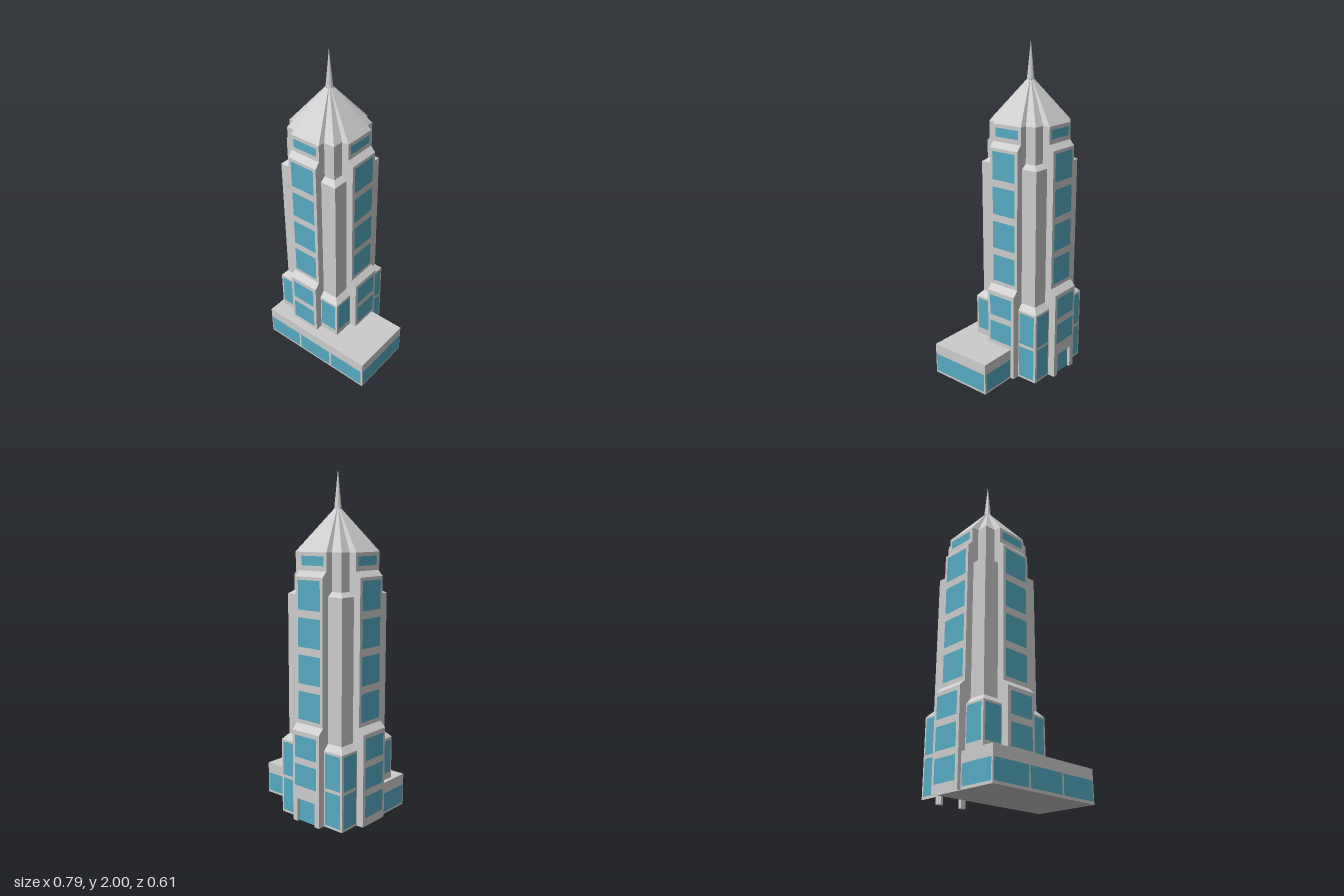
import * as THREE from 'three';

const stone = new THREE.MeshStandardMaterial({ color: 0xcccccc, flatShading: true });
const glass = new THREE.MeshStandardMaterial({ color: 0x55aac2 });

const CX = -0.117, CZ = -0.027; // tower axis
const ARM = 0.276, CORNER = 0.231, WING = 0.1; // ground-level half sizes

function add(parent, name, geometry, material, x = 0, y = 0, z = 0) {
  const mesh = new THREE.Mesh(geometry, material);
  mesh.name = name;
  mesh.position.set(x, y, z);
  parent.add(mesh);
  return mesh;
}

// Pane facing +z, given its horizontal and vertical range
function pane(parent, name, x0, x1, y0, y1, z) {
  return add(parent, name, new THREE.PlaneGeometry(x1 - x0, y1 - y0), glass, (x0 + x1) / 2, (y0 + y1) / 2, z + 0.002);
}

// Plan outline: four arms plus four stepped corner blocks
function outline([y, arm, corner, w = WING]) {
  const points = [];
  for (let k = 0; k < 4; k++) {
    for (let [x, z] of [[arm, w], [corner, w], [corner, corner], [w, corner], [w, arm]]) {
      for (let r = 0; r < k; r++) [x, z] = [-z, x];
      points.push([x, y, z]);
    }
  }
  return points;
}

// Skin between successive outlines; skip(level, side) leaves an opening
function loft(levels, skip = () => false) {
  const rings = levels.map(outline), pos = [];
  for (let l = 0; l < rings.length - 1; l++) {
    const lo = rings[l], hi = rings[l + 1];
    for (let i = 0; i < lo.length; i++) {
      if (skip(l, i)) continue;
      const j = (i + 1) % lo.length;
      pos.push(...lo[i], ...hi[i], ...hi[j], ...lo[i], ...hi[j], ...lo[j]);
    }
  }
  const g = new THREE.BufferGeometry();
  g.setAttribute('position', new THREE.Float32BufferAttribute(pos, 3));
  g.computeVertexNormals();
  return g;
}

export function createModel() {
  const model = new THREE.Group();
  model.name = 'skyscraper';

  const tower = new THREE.Group();
  tower.name = 'tower';
  tower.position.set(CX, 0, CZ);
  model.add(tower);

  // Shaft: rows of [height, arm reach, corner reach]
  const BACK_ARM = 14;
  add(tower, 'shaft', loft([
    [0, ARM, CORNER], [0.45, ARM, CORNER],
    [0.485, ARM, 0.2], [0.545, ARM, 0.2],
    [0.58, 0.243, 0.2], [1.31, 0.243, 0.2],
    [1.335, 0.243, 0.168], [1.415, 0.243, 0.168],
    [1.447, 0.213, 0.168], [1.548, 0.213, 0.168],
  ], (level, side) => level === 0 && side === BACK_ARM), stone);

  // Folded roof and spire
  add(tower, 'roof', loft([[1.548, 0.213, 0.168], [1.78, 0.021, 0.0168, 0.01]]), stone);
  add(tower, 'spire', new THREE.ConeGeometry(0.022, 0.22, 10), stone, 0, 1.89, 0);

  // Window columns on the four sides: front, right-hand, back, left-hand
  const armRows = [[0.22, 0.35, ARM], [0.39, 0.52, ARM]];
  for (let i = 0; i < 4; i++) armRows.push([0.605 + i * 0.209, 0.77 + i * 0.209, 0.243]);
  armRows.push([1.475, 1.527, 0.213]);
  for (let k = 0; k < 4; k++) {
    const side = new THREE.Group();
    side.name = ['frontWindows', 'plusXWindows', 'backWindows', 'minusXWindows'][k];
    side.rotation.y = k * Math.PI / 2;
    tower.add(side);
    for (const [y0, y1, z] of armRows) pane(side, 'armWindow', -0.081, 0.081, y0, y1, z);
    if (k === 3) pane(side, 'armWindow', -0.081, 0.081, 0.05, 0.18, ARM);
    for (const s of [-1, 1]) {
      const a = s * 0.109, b = s * 0.218, x0 = Math.min(a, b), x1 = Math.max(a, b);
      pane(side, 'cornerWindow', x0, x1, 0.235, 0.437, CORNER);
      // Lower panes only on the corners clear of the podium
      const atBack = k === 2 || (k === 1 && s > 0) || (k === 3 && s < 0);
      if (atBack) pane(side, 'cornerWindow', x0, x1, 0.015, 0.215, CORNER);
    }
  }

  // Back entrance: notched wall with a recessed glass door
  const entrance = new THREE.Group();
  entrance.name = 'entrance';
  entrance.rotation.y = Math.PI;
  tower.add(entrance);
  const D = 0.065, H = 0.14, DEPTH = 0.02;
  const wall = new THREE.Shape([
    [-WING, 0], [-D, 0], [-D, H], [D, H], [D, 0], [WING, 0], [WING, 0.45], [-WING, 0.45],
  ].map(([x, y]) => new THREE.Vector2(x, y)));
  add(entrance, 'entranceWall', new THREE.ExtrudeGeometry(wall, { depth: DEPTH, bevelEnabled: false }), stone, 0, 0, ARM - DEPTH);
  pane(entrance, 'door', -D, D, 0, H, ARM - DEPTH);

  // Podium with its glazing
  const podium = new THREE.Group();
  podium.name = 'podium';
  model.add(podium);
  const X0 = -0.372, X1 = 0.392, Z0 = -0.103, Z1 = 0.3, TOP = 0.195;
  add(podium, 'podiumBlock', new THREE.BoxGeometry(X1 - X0, TOP, Z1 - Z0), stone, (X0 + X1) / 2, TOP / 2, (Z0 + Z1) / 2);
  for (let i = 0; i < 3; i++) {
    const x = X0 + 0.008 + i * 0.253;
    pane(podium, 'podiumWindow', x, x + 0.24, 0.015, 0.13, Z1);
  }
  const sides = [
    [Math.PI / 2, -Z1 + 0.008, -Z0 - 0.008, X1],
    [-Math.PI / 2, 0.082, Z1 - 0.008, -X0],
    [Math.PI, -X1 + 0.008, -0.167, -Z0],
  ];
  for (const [angle, a, b, dist] of sides) {
    const g = new THREE.Group();
    g.name = 'podiumSideGlazing';
    g.rotation.y = angle;
    pane(g, 'podiumWindow', a, b, 0.015, 0.13, dist);
    podium.add(g);
  }
  return model;
}
